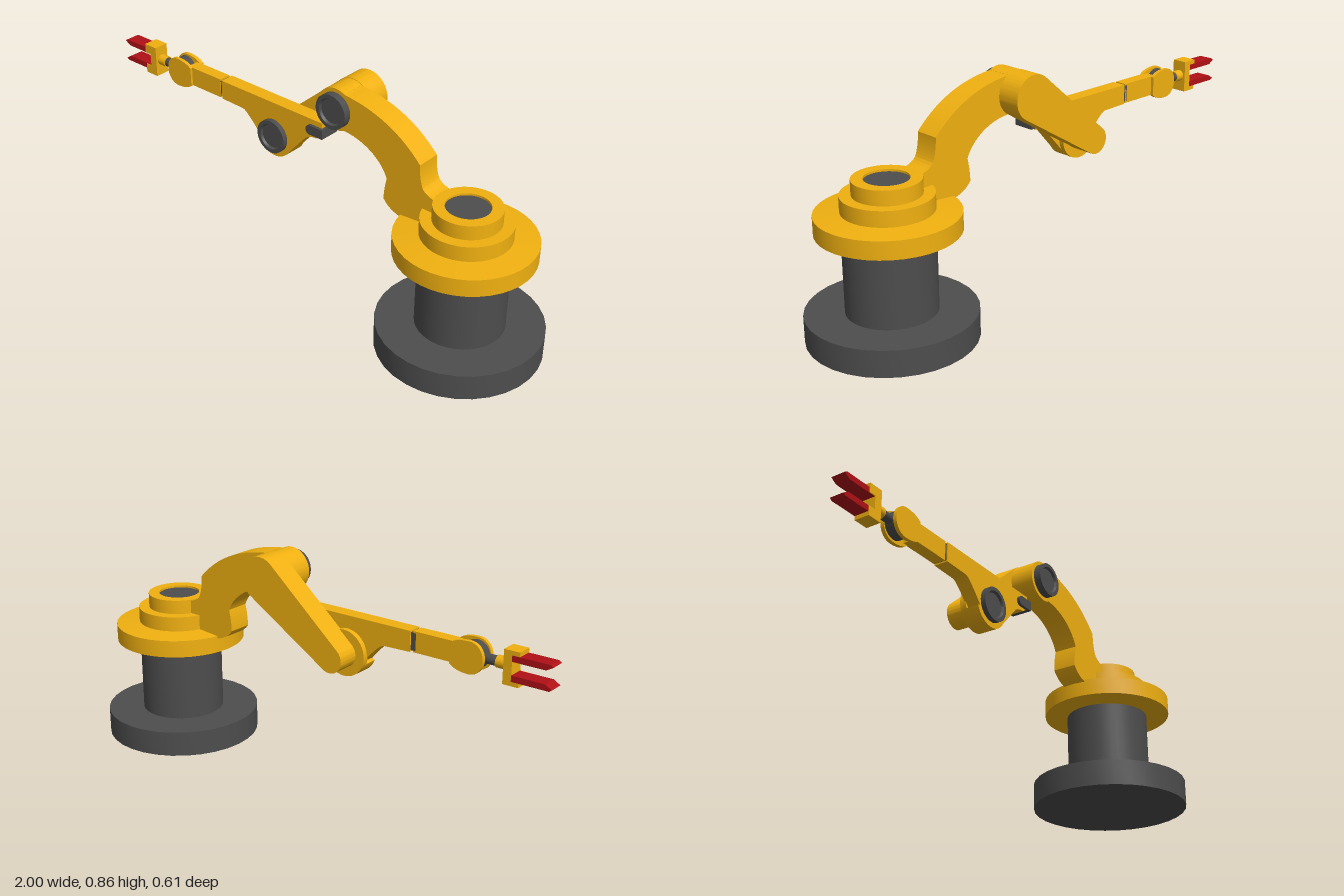
import * as THREE from 'three';
import { toCreasedNormals } from 'three/addons/utils/BufferGeometryUtils.js';

const paint = (color) => new THREE.MeshStandardMaterial({ color });

export function createModel() {
  const model = new THREE.Group();
  const yellow = paint(0xf0b010), dark = paint(0x4d4d4d), red = paint(0xb01015);

  const add = (name, geometry, material, x = 0, y = 0, z = 0) => {
    const mesh = new THREE.Mesh(geometry, material);
    mesh.name = name;
    mesh.position.set(x, y, z);
    model.add(mesh);
    return mesh;
  };
  // turned part: profile of [radius, height] from bottom to top
  const turned = (name, profile, material, x, y, z, segments = 40) =>
    add(name, toCreasedNormals(new THREE.LatheGeometry(
      profile.map(([r, h]) => new THREE.Vector2(r, h)), segments), 0.6), material, x, y, z);
  // outline in x/y pushed from z0 to z1
  const plate = (name, shape, z0, z1, material) =>
    add(name, toCreasedNormals(new THREE.ExtrudeGeometry(shape,
      { depth: z1 - z0, bevelEnabled: false, curveSegments: 20 }), 0.5), material, 0, 0, z0);
  const box = (name, x0, x1, y0, y1, z0, z1, material) =>
    add(name, new THREE.BoxGeometry(x1 - x0, y1 - y0, z1 - z0), material,
      (x0 + x1) / 2, (y0 + y1) / 2, (z0 + z1) / 2);
  const polygon = (points) => new THREE.Shape(points.map(([x, y]) => new THREE.Vector2(x, y)));
  const rodX = (name, x0, x1, y, z, r, material) => {
    add(name, new THREE.CylinderGeometry(r, r, x1 - x0, 24), material, (x0 + x1) / 2, y, z)
      .rotation.z = Math.PI / 2;
  };

  // pedestal
  const bx = 0.69;
  turned('base', [[0, 0], [0.305, 0], [0.305, 0.1], [0, 0.1]], dark, bx, 0, 0, 32);
  turned('column', [[0.163, 0.09], [0.163, 0.4]], dark, bx, 0, 0);
  turned('turntable', [[0, 0.39], [0.163, 0.39], [0.254, 0.397], [0.254, 0.464], [0.163, 0.472],
    [0.163, 0.53], [0.122, 0.53], [0.122, 0.585], [0.08, 0.585], [0.08, 0.57]], yellow, bx, 0, 0);
  turned('turntableCore', [[0.08, 0.56], [0.08, 0.577], [0, 0.577]], dark, bx, 0, 0);

  // curved shoulder arm ending in a round elbow
  const ex = 0.14, ey = 0.775;
  const arm = new THREE.Shape();
  arm.moveTo(0.6, 0.45);
  arm.lineTo(0.6, 0.578);
  arm.quadraticCurveTo(0.545, 0.585, 0.53, 0.61);
  arm.quadraticCurveTo(0.515, 0.645, 0.515, 0.695);
  arm.bezierCurveTo(0.43, 0.785, 0.32, 0.835, 0.18, 0.846);
  arm.absarc(ex, ey, 0.082, 1.06, 5.2, false);
  arm.bezierCurveTo(0.27, 0.7, 0.35, 0.65, 0.376, 0.585);
  arm.quadraticCurveTo(0.365, 0.54, 0.365, 0.5);
  arm.quadraticCurveTo(0.39, 0.465, 0.44, 0.455);
  plate('shoulderArm', arm, -0.05, 0.045, yellow);

  // tapered link behind, joining the elbow to the lower joint
  const hx = -0.18, hy = 0.54, r0 = 0.084, r1 = 0.052;
  const dir = Math.atan2(ey - hy, ex - hx);
  const spread = Math.acos((r0 - r1) / Math.hypot(ex - hx, ey - hy));
  const link = new THREE.Shape();
  link.absarc(ex, ey, r0, dir - Math.PI + spread - 2 * Math.PI, dir + Math.PI - spread - 2 * Math.PI, false);
  link.absarc(hx, hy, r1, dir + Math.PI - spread, dir + Math.PI + spread, false);
  plate('elbowLink', link, -0.142, -0.05, yellow);

  // forearm with a hub hanging below
  const forearm = new THREE.Shape();
  forearm.moveTo(0.058, 0.625);
  forearm.lineTo(0.058, 0.677);
  forearm.lineTo(-0.45, 0.677);
  forearm.lineTo(-0.45, 0.6);
  forearm.lineTo(-0.34, 0.597);
  forearm.quadraticCurveTo(-0.32, 0.596, -0.25, 0.515);
  forearm.absarc(hx, hy, 0.088, 3.5, 5.75, false);
  forearm.lineTo(-0.02, 0.59);
  forearm.quadraticCurveTo(0.0, 0.605, 0.03, 0.605);
  plate('forearm', forearm, -0.035, 0.022, yellow);
  const hub = new THREE.Shape();
  hub.absarc(hx, hy, 0.088, 0, Math.PI * 2, false);
  plate('forearmHub', hub, -0.055, -0.03, yellow);

  // dished joint caps facing the front
  for (const [name, x, y, z, h] of [['elbowCap', ex, ey, 0.04, 0.034], ['hubCap', hx, hy, 0.018, 0.024]]) {
    turned(name, [[0.067, 0], [0.067, h], [0.052, h], [0.047, h - 0.009], [0, h - 0.009]], dark, x, y, z)
      .rotation.x = Math.PI / 2;
  }

  // dark slot pin at the rear of the forearm
  const pin = new THREE.Shape();
  pin.absarc(0.008, 0.637, 0.019, Math.PI / 2, Math.PI * 1.5, false);
  pin.lineTo(0.068, 0.618);
  pin.lineTo(0.068, 0.656);
  plate('forearmPin', pin, -0.05, 0.034, dark);

  // rotating front section of the forearm
  box('wristSeam', -0.47, -0.44, 0.606, 0.671, -0.03, 0.017, dark);
  plate('wristSection', polygon([[-0.46, 0.6], [-0.46, 0.677], [-0.635, 0.677], [-0.635, 0.6]]),
    -0.03, 0.019, yellow);

  // wrist fork cheeks with a dark tongue between
  const cheek = new THREE.Shape();
  cheek.moveTo(-0.615, 0.6);
  cheek.lineTo(-0.615, 0.675);
  cheek.quadraticCurveTo(-0.64, 0.695, -0.69, 0.695);
  cheek.bezierCurveTo(-0.762, 0.695, -0.762, 0.578, -0.69, 0.578);
  cheek.quadraticCurveTo(-0.64, 0.578, -0.615, 0.6);
  plate('wristCheekFront', cheek, 0.014, 0.028, yellow);
  plate('wristCheekBack', cheek, -0.042, -0.027, yellow);
  const tongue = new THREE.Shape();
  tongue.absarc(-0.69, 0.637, 0.05, 0, Math.PI * 2, false);
  plate('wristTongue', tongue, -0.028, 0.015, dark);

  // gripper
  const gz = -0.007;
  rodX('wristRod', -0.785, -0.73, 0.637, gz, 0.018, dark);
  rodX('gripperCollar', -0.82, -0.782, 0.637, gz, 0.022, yellow);
  plate('gripperBracket', polygon([[-0.818, 0.573], [-0.818, 0.697], [-0.878, 0.697], [-0.878, 0.66],
    [-0.85, 0.66], [-0.85, 0.61], [-0.878, 0.61], [-0.878, 0.573]]), -0.036, 0.024, yellow);
  for (const [name, s] of [['upperFinger', 1], ['lowerFinger', -1]]) {
    const side = [[-0.85, 0.024], [-0.85, 0.046], [-0.99, 0.046], [-1, 0.039], [-0.975, 0.024]];
    plate(name, polygon(side.map(([x, y]) => [x, 0.635 + s * y])), -0.037, 0.021, red);
  }
  return model;
}
